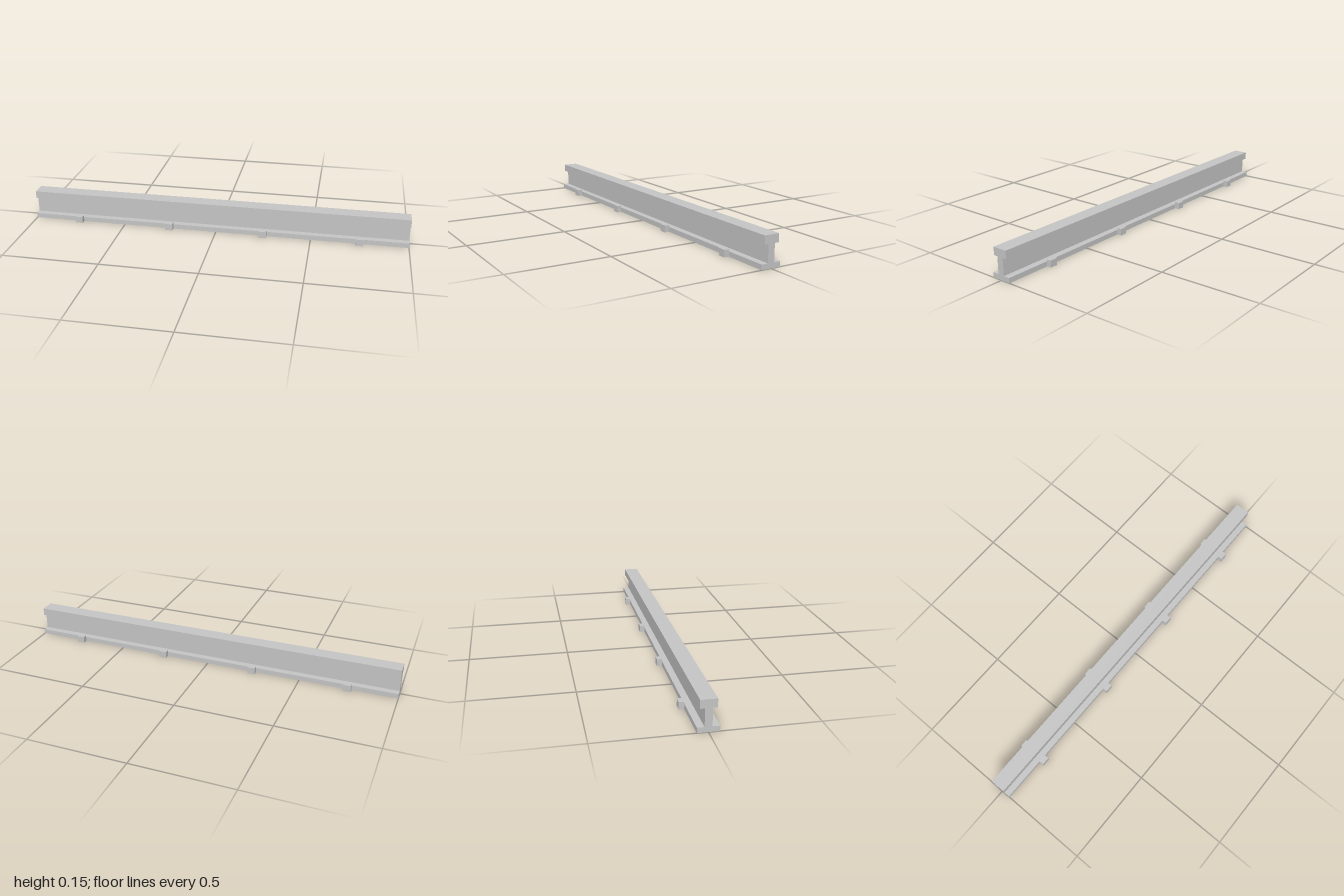
import * as THREE from 'three';

export function createModel() {
  const model = new THREE.Group();
  model.name = 'railSection';
  const steel = new THREE.MeshStandardMaterial({ color: 0xc4c4c4 });
  steel.name = 'light steel grey';

  // Rail: one half of the I-shaped profile, mirrored and extruded along x
  const half = [[0.05, 0], [0.05, 0.025], [0.017, 0.025], [0.017, 0.11], [0.038, 0.11], [0.038, 0.15]];
  const mirrored = half.map(([z, y]) => [-z, y]).reverse();
  const profile = new THREE.Shape([...half, ...mirrored].map(([z, y]) => new THREE.Vector2(z, y)));
  const railGeometry = new THREE.ExtrudeGeometry(profile, { depth: 2, bevelEnabled: false });
  railGeometry.translate(0, 0, -1).rotateY(Math.PI / 2);
  const rail = new THREE.Mesh(railGeometry, steel);
  rail.name = 'rail';
  model.add(rail);

  // Clips: four along each edge of the foot
  const clipGeometry = new THREE.BoxGeometry(0.04, 0.035, 0.025);
  for (const side of [1, -1]) {
    for (const x of [-0.75, -0.25, 0.25, 0.75]) {
      const clip = new THREE.Mesh(clipGeometry, steel);
      clip.name = side > 0 ? 'frontClip' : 'backClip';
      clip.position.set(x, 0.0175, side * 0.0625);
      model.add(clip);
    }
  }
  return model;
}
